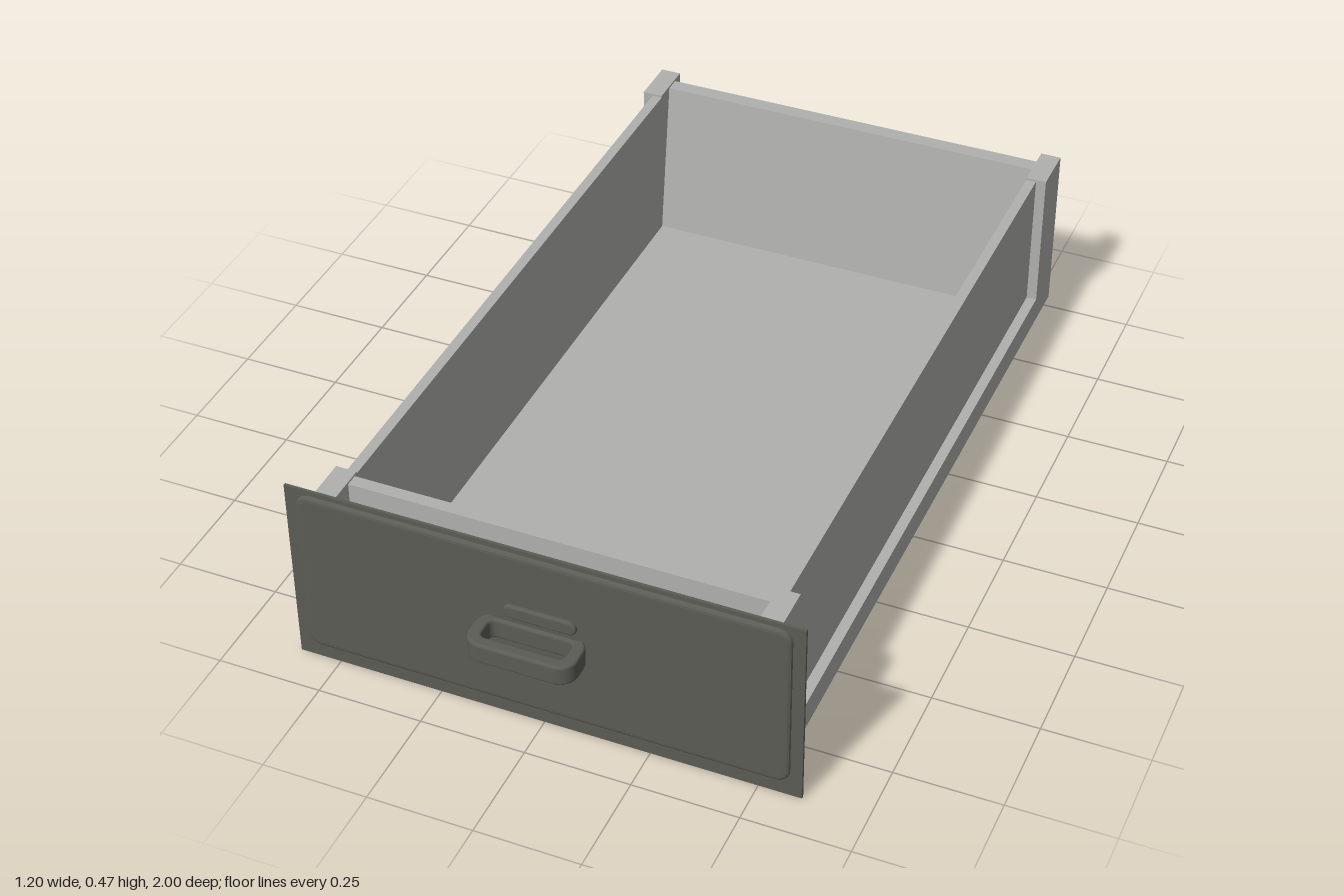
import * as THREE from 'three';

const bodyMat = new THREE.MeshStandardMaterial({ color: 0xb0b0ae });
bodyMat.name = 'light grey body';
const frontMat = new THREE.MeshStandardMaterial({ color: 0x5c5c56 });
frontMat.name = 'dark grey front';

export function createModel() {
  const drawer = new THREE.Group();
  drawer.name = 'drawer';

  const add = (name, geometry, material) => {
    const mesh = new THREE.Mesh(geometry, material);
    mesh.name = name;
    drawer.add(mesh);
    return mesh;
  };

  // Box given by its bounds
  const box = (name, material, x0, x1, y0, y1, z0, z1) =>
    add(name, new THREE.BoxGeometry(x1 - x0, y1 - y0, z1 - z0), material)
      .position.set((x0 + x1) / 2, (y0 + y1) / 2, (z0 + z1) / 2);

  // Rounded rectangle outline, r = 0 gives sharp corners
  const rect = (x0, x1, y0, y1, r = 0, Type = THREE.Shape) => {
    const s = new Type();
    if (r === 0) {
      s.moveTo(x0, y0).lineTo(x1, y0).lineTo(x1, y1).lineTo(x0, y1).closePath();
      return s;
    }
    s.absarc(x1 - r, y0 + r, r, -Math.PI / 2, 0);
    s.absarc(x1 - r, y1 - r, r, 0, Math.PI / 2);
    s.absarc(x0 + r, y1 - r, r, Math.PI / 2, Math.PI);
    s.absarc(x0 + r, y0 + r, r, Math.PI, Math.PI * 1.5);
    s.closePath();
    return s;
  };

  // Horizontal frame with a hole, drawn in x and z
  const frame = (name, outer, hole, y0, y1) => {
    outer.holes.push(hole);
    const g = new THREE.ExtrudeGeometry(outer, { depth: y1 - y0, bevelEnabled: false });
    g.rotateX(Math.PI / 2).translate(0, y1, 0);
    add(name, g, bodyMat);
  };

  // Base: ledge around the walls, underside rim and sunken floor
  frame('baseLedge', rect(-0.54, 0.54, -1, 0.888),
    rect(-0.49, 0.49, -0.95, 0.8, 0, THREE.Path), 0.045, 0.1);
  frame('undersideRim', rect(-0.54, 0.54, -1, 0.888),
    rect(-0.456, 0.456, -0.9, 0.79, 0, THREE.Path), 0.03, 0.045);
  box('floor', bodyMat, -0.5, 0.5, 0.042, 0.055, -0.96, 0.81);

  // Side walls and corner posts
  for (const side of [-1, 1]) {
    const sideBox = (name, a, b, ...rest) =>
      box(name, bodyMat, Math.min(side * a, side * b), Math.max(side * a, side * b), ...rest);
    sideBox('sideWall', 0.49, 0.515, 0.1, 0.45, -0.968, 0.815);
    sideBox('backPost', 0.49, 0.54, 0.1, 0.455, -1, -0.88);
    sideBox('frontPost', 0.49, 0.54, 0.1, 0.455, 0.775, 0.888);
  }

  // End walls, sloping inwards to the floor
  const endWall = (name, outerZ, topZ, floorZ) => {
    const points = [[outerZ, 0.055], [outerZ, 0.45], [topZ, 0.45], [floorZ, 0.055]];
    const shape = new THREE.Shape(points.map(([z, y]) => new THREE.Vector2(-z, y)));
    const g = new THREE.ExtrudeGeometry(shape, { depth: 0.98, bevelEnabled: false });
    g.rotateY(Math.PI / 2).translate(-0.49, 0, 0);
    add(name, g, bodyMat);
  };
  endWall('backWall', -0.968, -0.93, -0.875);
  endWall('frontWall', 0.815, 0.785, 0.73);

  // Front plate with a softly raised centre
  box('frontPlate', frontMat, -0.6, 0.6, 0, 0.475, 0.89, 0.897);
  const raised = new THREE.ExtrudeGeometry(rect(-0.56, 0.56, 0.05, 0.452, 0.02), {
    depth: 0.002, bevelThickness: 0.007, bevelSize: 0.012, bevelSegments: 3, curveSegments: 6,
  });
  raised.translate(0, 0, 0.897);
  add('raisedPanel', raised, frontMat);

  // Pull handle: a rounded flat bar bent into a loop
  const loop = rect(-0.133, 0.11, 0.897, 0.994, 0.035);
  loop.holes.push(rect(-0.115, 0.092, 0.908, 0.976, 0.02, THREE.Path));
  const handle = new THREE.ExtrudeGeometry(loop, {
    depth: 0.038, bevelThickness: 0.007, bevelSize: 0.006, bevelSegments: 3, curveSegments: 8,
  });
  handle.rotateX(Math.PI / 2).translate(0, 0.27, 0);
  add('handle', handle, frontMat);

  // Low moulded ridge above the handle
  const ridge = new THREE.ExtrudeGeometry(rect(-0.074, 0.084, 0.298, 0.322, 0.011), {
    depth: 0.008, bevelThickness: 0.005, bevelSize: 0.006, bevelSegments: 3, curveSegments: 8,
  });
  ridge.translate(0, 0, 0.902);
  add('handleRidge', ridge, frontMat);

  return drawer;
}
